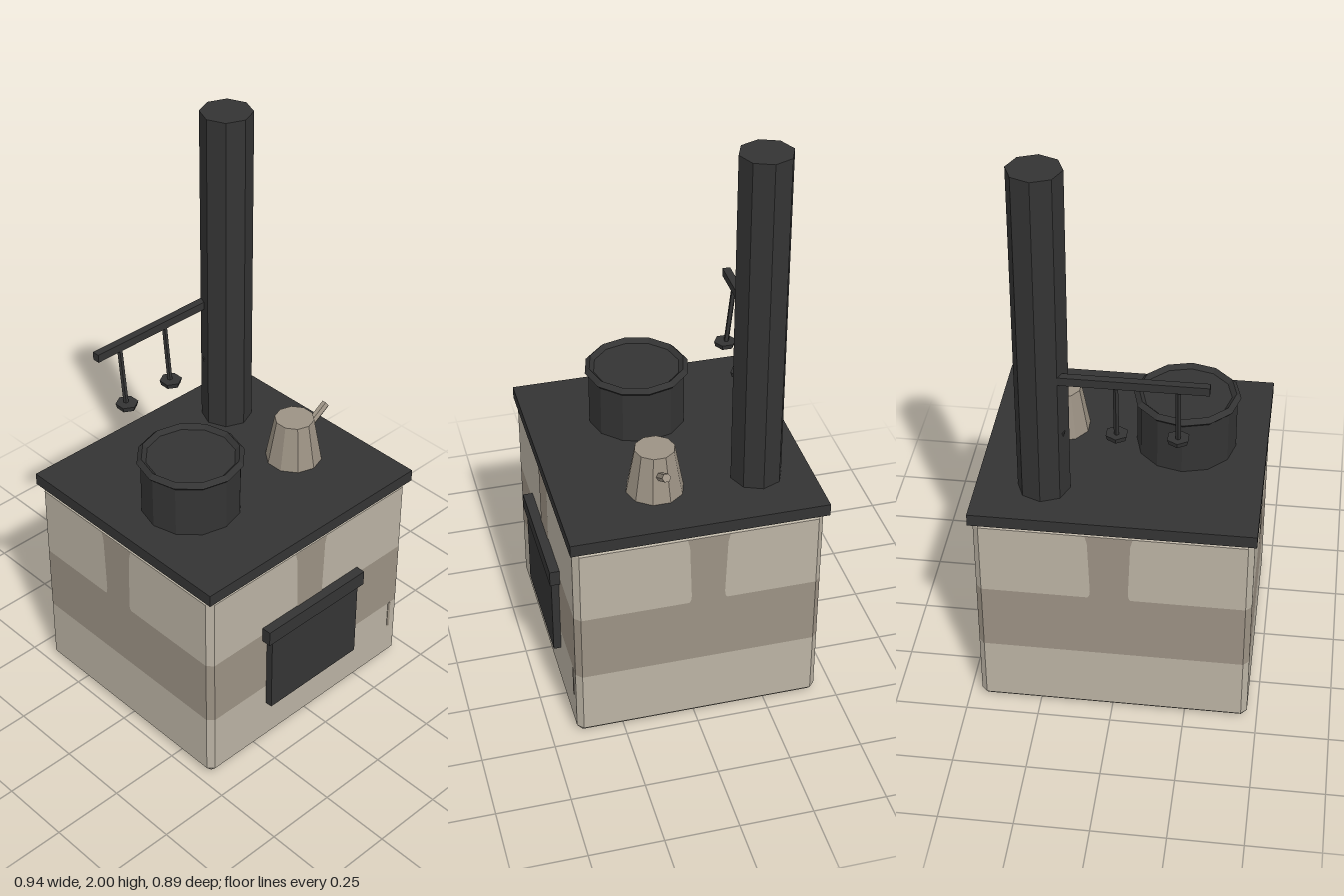
import * as THREE from 'three';

export function createModel() {
  const model = new THREE.Group();
  const iron = new THREE.MeshStandardMaterial({ color: 0x343434, name: 'castIron' });
  const stone = new THREE.MeshStandardMaterial({ color: 0xbbb3a4, name: 'paleStone' });
  const mortar = new THREE.MeshStandardMaterial({ color: 0x9c9284, name: 'darkStone' });
  for (const m of [iron, stone, mortar]) m.flatShading = true;

  const add = (name, geometry, material, x = 0, y = 0, z = 0, parent = model) => {
    const mesh = new THREE.Mesh(geometry, material);
    mesh.name = name;
    mesh.position.set(x, y, z);
    parent.add(mesh);
    return mesh;
  };
  // Box given by its two extreme corners
  const box = (name, material, x0, x1, y0, y1, z0, z1) =>
    add(name, new THREE.BoxGeometry(x1 - x0, y1 - y0, z1 - z0), material,
      (x0 + x1) / 2, (y0 + y1) / 2, (z0 + z1) / 2);
  // Straight rod between two points
  const rod = (name, material, a, b, r0, r1, sides) => {
    const dir = b.clone().sub(a);
    const mid = a.clone().add(b).multiplyScalar(0.5);
    const mesh = add(name, new THREE.CylinderGeometry(r1, r0, dir.length(), sides), material, mid.x, mid.y, mid.z);
    mesh.quaternion.setFromUnitVectors(new THREE.Vector3(0, 1, 0), dir.normalize());
    return mesh;
  };

  // Masonry body: courses with chamfered edges
  const cx = -0.003, cz = -0.0125, hx = 0.4625, hz = 0.4225, bevel = 0.02;
  const ring = (y, inset) => {
    const x = hx - inset, z = hz - inset, b = bevel;
    const x2 = hx - b, z2 = hz - b;
    return [[x2, z], [x, z2], [x, -z2], [x2, -z], [-x2, -z], [-x, -z2], [-x, z2], [-x2, z]]
      .map(([px, pz]) => [px + cx, y, pz + cz]);
  };
  const course = (name, material, ...levels) => {
    const rings = levels.map(([y, inset]) => ring(y, inset));
    const pos = [];
    for (let k = 0; k + 1 < rings.length; k++) {
      for (let i = 0; i < 8; i++) {
        const j = (i + 1) % 8;
        const a = rings[k][i], b = rings[k][j], c = rings[k + 1][j], d = rings[k + 1][i];
        pos.push(...a, ...b, ...c, ...a, ...c, ...d);
      }
    }
    const g = new THREE.BufferGeometry();
    g.setAttribute('position', new THREE.Float32BufferAttribute(pos, 3));
    g.computeVertexNormals();
    add(name, g, material);
  };
  course('lowerCourse', stone, [0, bevel], [0.022, 0], [0.25, 0]);
  course('middleCourse', mortar, [0.25, 0], [0.495, 0]);
  course('upperCourse', stone, [0.495, 0], [0.757, 0], [0.78, bevel]);

  // Underside with paler stones
  const floorPlate = (name, material, x0, x1, z0, z1, y) => {
    const mesh = add(name, new THREE.PlaneGeometry(x1 - x0, z1 - z0), material, (x0 + x1) / 2, y, (z0 + z1) / 2);
    mesh.rotation.x = Math.PI / 2;
  };
  floorPlate('underside', mortar, cx - hx + bevel, cx + hx - bevel, cz - hz + bevel, cz + hz - bevel, 0.002);
  floorPlate('undersideStone', stone, 0.09, 0.37, -0.14, 0.09, 0);
  floorPlate('undersideStone', stone, -0.14, 0.18, -0.41, -0.22, 0);
  floorPlate('undersideStone', stone, 0.14, 0.44, 0.29, 0.385, 0);

  // Dark upright joint on each side, flared where the stones have rounded corners
  const joint = (x0, x1) => {
    const f = 0.015, y0 = 0.495, y1 = 0.757;
    const s = new THREE.Shape();
    s.moveTo(x0 - f, y0);
    s.lineTo(x1 + f, y0);
    s.quadraticCurveTo(x1, y0, x1, y0 + 0.03);
    s.lineTo(x1 + f / 2, y1 - 0.03);
    s.lineTo(x1 + f, y1);
    s.lineTo(x0 - f, y1);
    s.lineTo(x0 - f / 2, y1 - 0.03);
    s.lineTo(x0, y0 + 0.03);
    s.quadraticCurveTo(x0, y0, x0 - f, y0);
    return new THREE.ShapeGeometry(s, 4);
  };
  const sides = [
    ['frontJoint', 0, -0.066, 0.05, 0, cz + hz],
    ['backJoint', Math.PI, -0.072, 0.055, 0, cz - hz],
    ['leftJoint', Math.PI / 2, -0.016, 0.098, cx + hx, 0],
    ['rightJoint', -Math.PI / 2, -0.098, 0.016, cx - hx, 0],
  ];
  for (const [name, angle, x0, x1, px, pz] of sides) {
    const mesh = add(name, joint(x0, x1), mortar,
      px + 0.002 * Math.sin(angle), 0, pz + 0.002 * Math.cos(angle));
    mesh.rotation.y = angle;
  }
  box('cornerJoint', mortar, 0.402, 0.414, 0.14, 0.25, 0.408, 0.412);

  // Hot plate and oven door
  box('hotPlate', iron, -0.473, 0.471, 0.775, 0.818, -0.448, 0.42);
  box('ovenDoor', iron, -0.207, 0.204, 0.17, 0.48, 0.405, 0.436);
  box('doorLintel', iron, -0.228, 0.225, 0.468, 0.524, 0.405, 0.444);

  // Chimney pipe
  add('chimney', new THREE.CylinderGeometry(0.088, 0.088, 1.2, 8), iron, 0.245, 1.4, -0.262);

  // Cooking pot with a faceted rim
  add('pot', new THREE.CylinderGeometry(0.169, 0.169, 0.2, 12), iron, -0.198, 0.916, 0.035);
  const rim = add('potRim', new THREE.TorusGeometry(0.165, 0.016, 4, 12), iron, -0.198, 1.015, 0.035);
  rim.rotation.x = Math.PI / 2;

  // Kettle and spout
  add('kettle', new THREE.CylinderGeometry(0.068, 0.098, 0.163, 10), mortar, 0.236, 0.898, 0.083);
  rod('kettleSpout', mortar, new THREE.Vector3(0.27, 0.89, 0.083), new THREE.Vector3(0.388, 0.965, 0.083), 0.015, 0.015, 6);

  // Utensil rail with hanging ladles
  box('rail', iron, -0.298, 0.2, 1.268, 1.297, -0.323, -0.296);
  for (const x of [-0.198, 0, 0.2]) {
    rod('ladleHandle', iron, new THREE.Vector3(x, 1.28, -0.308), new THREE.Vector3(x, 1.06, -0.284), 0.009, 0.009, 5);
    add('ladleBowl', new THREE.CylinderGeometry(0.039, 0.034, 0.018, 6), iron, x, 1.06, -0.28);
  }
  return model;
}
